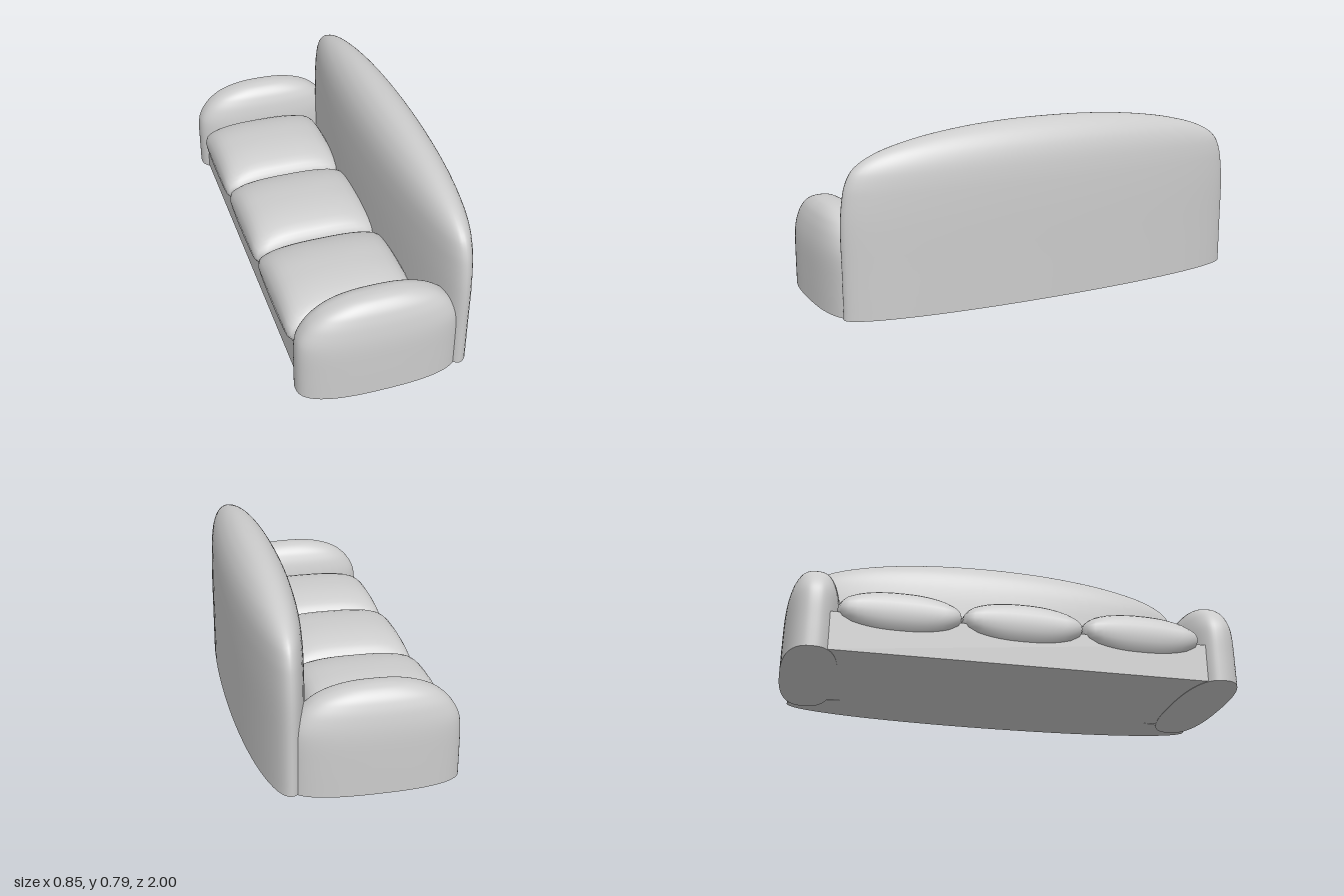
import * as THREE from 'three';

const grey = new THREE.MeshStandardMaterial({ color: 0xcccccc });
const SEG = 72;

// Skin stacked rings; each ring is a list of [x, y, z]. A flat bottom keeps a sharp rim.
function skin(rings, bottom, top, flatBottom) {
  const pos = [], idx = [];
  const addRing = (ring) => { const start = pos.length / 3; ring.forEach((p) => pos.push(...p)); return start; };
  const starts = rings.map(addRing);
  const capStart = flatBottom ? addRing(rings[0]) : starts[0];
  const bottomTip = addRing([bottom]), topTip = addRing([top]);
  const last = starts[starts.length - 1];
  for (let j = 0; j < SEG; j++) {
    const k = (j + 1) % SEG;
    for (let i = 0; i < starts.length - 1; i++) {
      const a = starts[i] + j, b = starts[i] + k, c = starts[i + 1] + j, d = starts[i + 1] + k;
      idx.push(a, c, b, b, c, d);
    }
    idx.push(bottomTip, capStart + j, capStart + k, last + j, topTip, last + k);
  }
  const geo = new THREE.BufferGeometry();
  geo.setAttribute('position', new THREE.Float32BufferAttribute(pos, 3));
  geo.setIndex(idx);
  geo.computeVertexNormals();
  return geo;
}

// Unit superellipse in plan: n = 2 is an ellipse, larger n is squarer
function plan(n) {
  return Array.from({ length: SEG }, (_, j) => {
    const t = (j / SEG) * Math.PI * 2, c = Math.cos(t), s = Math.sin(t);
    const r = (Math.abs(c) ** n + Math.abs(s) ** n) ** (-1 / n);
    return [r * c, r * s];
  });
}

// Upright padded form with a domed top; rows are [y, x scale, z scale]
function dome(hx, hz, n, rows) {
  const curve = new THREE.CatmullRomCurve3(rows.map(([y, sx, sz]) => new THREE.Vector3(sx, y, sz)));
  const pts = curve.getPoints(44), tip = pts.pop();
  const rings = pts.map((p) => plan(n).map(([u, v]) => [u * p.x * hx, p.y, v * p.z * hz]));
  return skin(rings, [0, pts[0].y, 0], [0, tip.y, 0], true);
}

// Pillow: thickest in the middle, thinner along the edges, thinnest at the corners
function pillow(hx, hz) {
  const steps = [0.12, 0.25, 0.4, 0.55, 0.7, 0.8, 0.87, 0.92, 0.96, 0.985, 1];
  const ring = (s, side) => plan(16).map(([u, v]) => {
    const x = Math.abs(u * s), z = Math.abs(v * s);
    const thick = 0.033 + 0.045 * (1 - x ** 3) + 0.057 * (1 - z ** 2.5);
    return [u * s * hx, side * thick * Math.sqrt(1 - s ** 12), v * s * hz];
  });
  const lower = steps.map((s) => ring(s, -1));
  const upper = steps.slice(0, -1).reverse().map((s) => ring(s, 1));
  return skin([...lower, ...upper], [0, -0.135, 0], [0, 0.135, 0], false);
}

export function createModel() {
  const group = new THREE.Group();
  const add = (name, geo, x, y, z) => {
    const mesh = new THREE.Mesh(geo, grey);
    mesh.name = name;
    mesh.position.set(x, y, z);
    group.add(mesh);
  };

  // Plinth under the cushions, reaching into the arms
  add('base', new THREE.BoxGeometry(0.575, 0.17, 1.66), -0.1075, 0.087, 0);

  // Long curved backrest
  add('backrest', dome(0.1435, 0.957, 2.05, [
    [0.003, 1, 1], [0.2, 1, 1], [0.4, 1, 1], [0.5, 0.985, 0.99], [0.56, 0.965, 0.977], [0.62, 0.92, 0.945],
    [0.675, 0.83, 0.86], [0.725, 0.665, 0.69], [0.76, 0.45, 0.47], [0.778, 0.24, 0.25], [0.785, 0, 0],
  ]), 0.2795, 0, 0);

  // Armrests
  const arm = dome(0.353, 0.12, 2.6, [
    [0, 1, 1], [0.12, 1, 1], [0.22, 0.996, 0.99], [0.27, 0.975, 0.96], [0.33, 0.885, 0.87],
    [0.375, 0.755, 0.745], [0.4, 0.635, 0.635], [0.425, 0.42, 0.43], [0.436, 0.2, 0.21], [0.439, 0, 0],
  ]);
  for (const side of [-1, 1]) add('armrest', arm, -0.07, 0, side * 0.88);

  // Seat cushions
  const cushion = pillow(0.295, 0.263);
  for (const i of [-1, 0, 1]) add('seatCushion', cushion, -0.125, 0.192, i * 0.526);

  return group;
}
